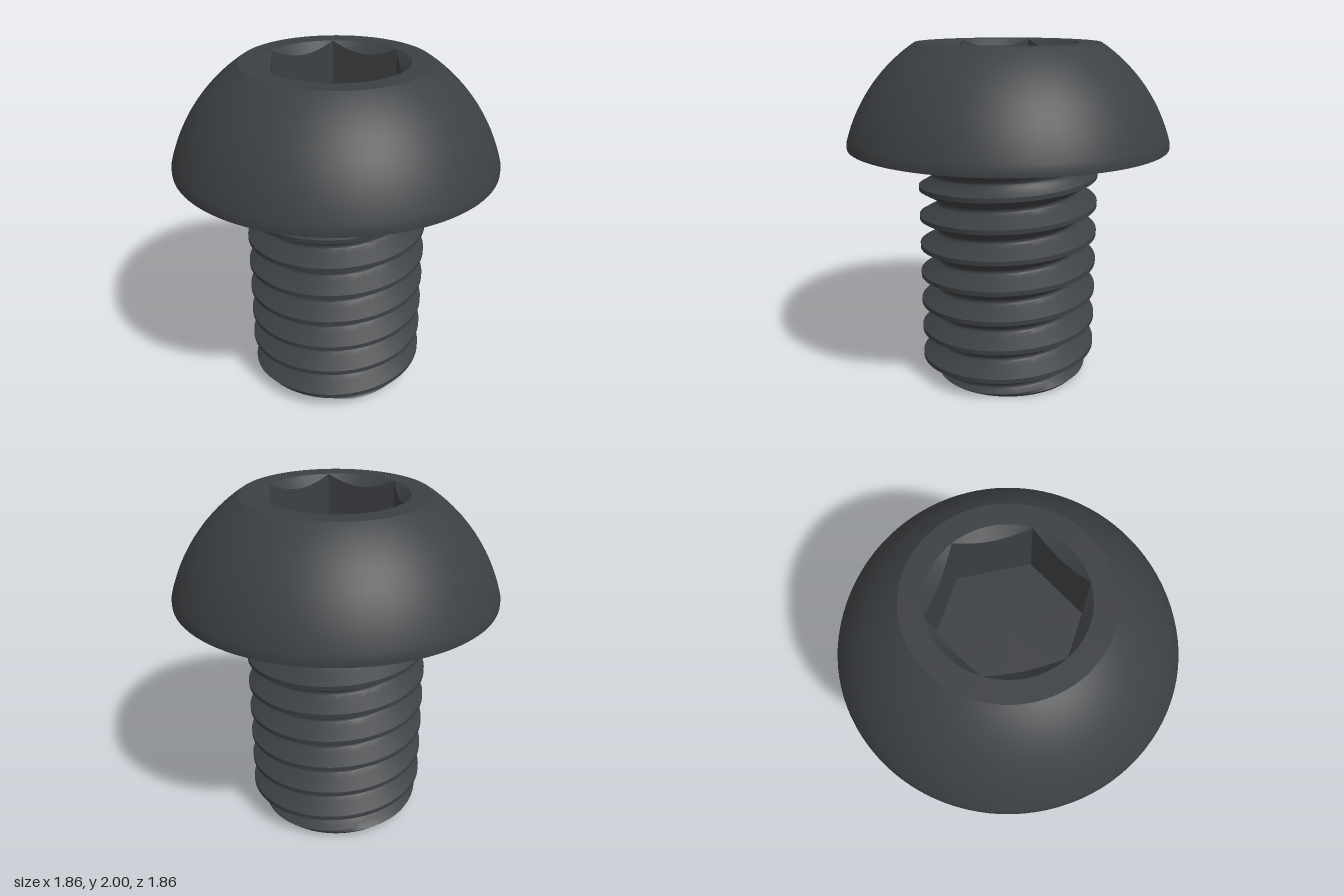
import * as THREE from 'three';
import { toCreasedNormals } from 'three/addons/utils/BufferGeometryUtils.js';

const SEG = 96;
const R = 0.53;          // thread crest radius
const PITCH = 0.177;
const NECK = 1.385;      // where the thread meets the fillet under the head
const TOP = 2;

// Skin of rows running around the y axis; each row is a function angle -> [radius, y].
function skin(rows) {
  const pos = [];
  const point = (row, i) => {
    const a = ((i % SEG) / SEG) * Math.PI * 2;
    const [r, y] = row((i / SEG) * Math.PI * 2);
    return new THREE.Vector3(Math.sin(a) * r, y, Math.cos(a) * r);
  };
  const tri = new THREE.Triangle();
  const add = (a, b, c) => {
    if (tri.set(a, b, c).getArea() < 1e-8) return;
    for (const p of [a, b, c]) pos.push(p.x, p.y, p.z);
  };
  for (let j = 0; j < rows.length - 1; j++) {
    for (let i = 0; i < SEG; i++) {
      const a = point(rows[j], i), b = point(rows[j], i + 1);
      const c = point(rows[j + 1], i + 1), d = point(rows[j + 1], i);
      add(a, b, c);
      add(a, c, d);
    }
  }
  const geo = new THREE.BufferGeometry();
  geo.setAttribute('position', new THREE.Float32BufferAttribute(pos, 3));
  return toCreasedNormals(geo, THREE.MathUtils.degToRad(28));
}

const ring = (r, y) => () => [r, y];

// Thread groove: 60 degree flanks, rounded root, narrow flat crest.
const ROOT = 0.021;
const EDGE = PITCH / 2 - 0.013;
const rootHeight = (a) => 0.21 + (PITCH * a) / (Math.PI * 2);

function threadRadius(a, y) {
  const turns = (y - rootHeight(a)) / PITCH;
  const s = Math.abs(turns - Math.round(turns)) * PITCH;
  let r = R;
  if (s < ROOT * Math.cos(Math.PI / 6)) r = 0.441 - Math.sqrt(ROOT * ROOT - s * s);
  else if (s < EDGE) r = R - (EDGE - s) * Math.sqrt(3);
  // the groove fades out below the head, and the tip is chamfered
  const fade = THREE.MathUtils.clamp((1.39 - y) / 0.19, 0, 1);
  return Math.min(R - (R - r) * fade, 0.44 + y);
}

function threadedShank() {
  const half = [15, 30, 45, 60].map((d) => ROOT * Math.sin(THREE.MathUtils.degToRad(d)));
  for (let k = 1; k <= 4; k++) half.push(THREE.MathUtils.lerp(half[3], EDGE, k / 4));
  const offsets = [...half.map((s) => -s).reverse(), 0, ...half];
  const rows = [ring(0, 0)];
  for (let turn = -3; turn <= 8; turn++) {
    for (const s of offsets) {
      rows.push((a) => {
        const y = THREE.MathUtils.clamp(rootHeight(a) + turn * PITCH + s, 0, NECK);
        return [threadRadius(a, y), y];
      });
    }
  }
  return skin(rows);
}

function domedHead() {
  const rows = [];
  // fillet between shank and head
  const f = 0.035;
  for (let k = 0; k <= 6; k++) {
    const t = (k / 6) * Math.PI / 2;
    rows.push(ring(R + f * (1 - Math.cos(t)), NECK + f * Math.sin(t)));
  }
  rows.push(ring(0.93, 1.42));
  // spherical dome ending in a flat top
  const cy = 1.194, rad = 0.965;
  const t0 = Math.asin((1.45 - cy) / rad), t1 = Math.acos(R / rad);
  for (let k = 0; k <= 20; k++) {
    const t = THREE.MathUtils.lerp(t0, t1, k / 20);
    rows.push(ring(rad * Math.cos(t), k === 20 ? TOP : cy + rad * Math.sin(t)));
  }
  // hexagonal socket with a conical lead-in
  const flat = 0.355, corner = flat / Math.cos(Math.PI / 6), floor = TOP - 0.38;
  const hex = (a) => {
    const sixth = Math.PI / 3;
    return flat / Math.cos(a - Math.round(a / sixth) * sixth);
  };
  rows.push(ring(corner, TOP));
  rows.push((a) => [hex(a), TOP - (corner - hex(a))]);
  rows.push((a) => [hex(a), floor]);
  rows.push(ring(0, floor));
  return skin(rows);
}

export function createModel() {
  const group = new THREE.Group();
  group.name = 'buttonHeadScrew';
  const material = new THREE.MeshStandardMaterial({ color: 0x3d4043 });
  const parts = { threadedShank: threadedShank(), domedSocketHead: domedHead() };
  for (const [name, geometry] of Object.entries(parts)) {
    const mesh = new THREE.Mesh(geometry, material);
    mesh.name = name;
    group.add(mesh);
  }
  return group;
}
